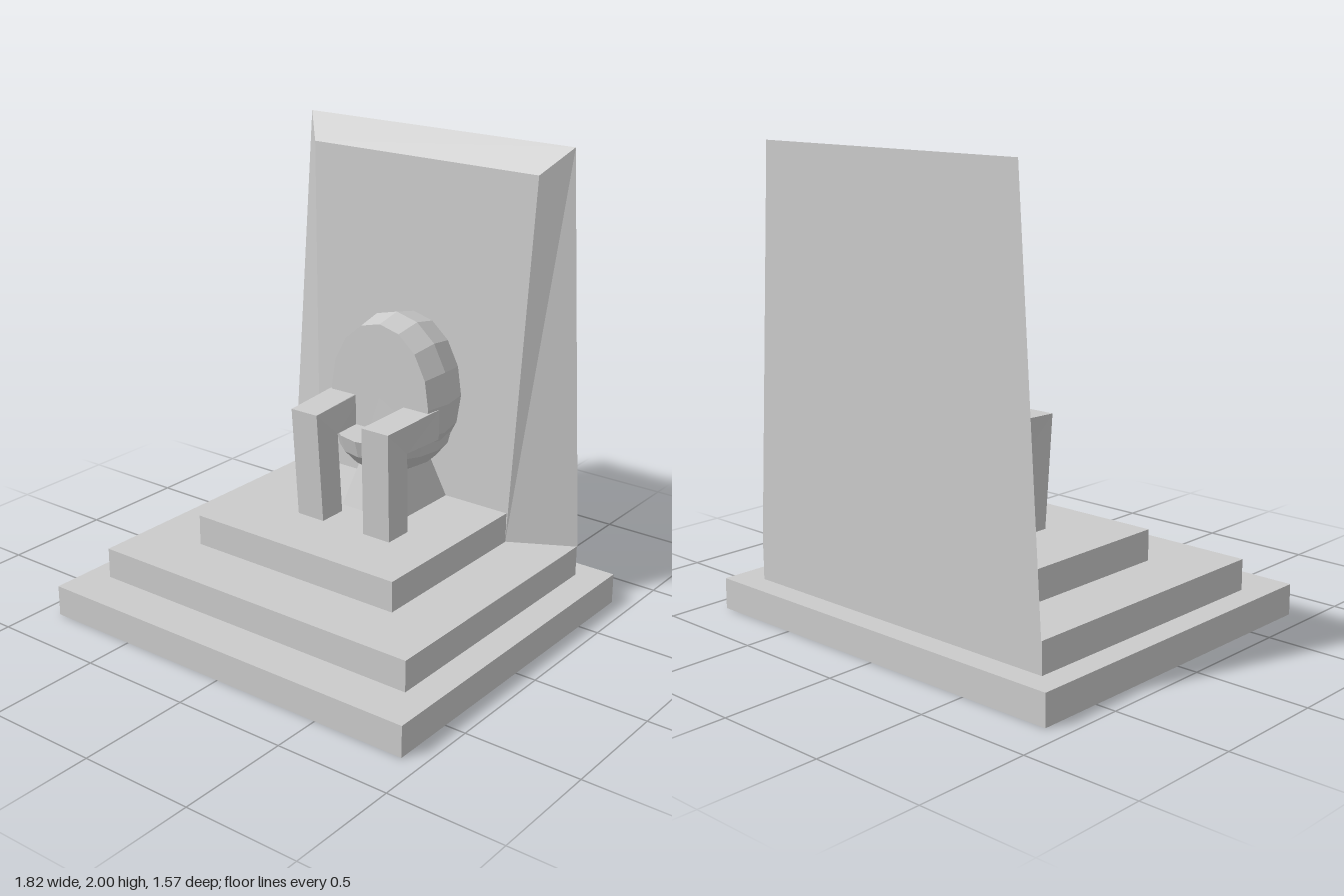
import * as THREE from 'three';

const material = new THREE.MeshStandardMaterial({ color: 0xcccccc, flatShading: true });

function part(name, geometry, parent) {
  const mesh = new THREE.Mesh(geometry, material);
  mesh.name = name;
  parent.add(mesh);
  return mesh;
}

// Box given by its limits on each axis
function block(x0, x1, y0, y1, z0, z1) {
  return new THREE.BoxGeometry(x1 - x0, y1 - y0, z1 - z0)
    .translate((x0 + x1) / 2, (y0 + y1) / 2, (z0 + z1) / 2);
}

// Move every vertex by a rule
function reshape(geometry, rule) {
  const p = geometry.attributes.position;
  const v = new THREE.Vector3();
  for (let i = 0; i < p.count; i++) {
    rule(v.fromBufferAttribute(p, i));
    p.setXYZ(i, v.x, v.y, v.z);
  }
  geometry.computeVertexNormals();
  return geometry;
}

export function createModel() {
  const model = new THREE.Group();
  model.name = 'throneOnDais';

  // Stepped dais
  part('lowerStep', block(-0.91, 0.91, 0, 0.135, -0.785, 0.785), model);
  part('middleStep', block(-0.8, 0.78, 0.135, 0.27, -0.68, 0.585), model);
  part('upperStep', block(-0.52, 0.51, 0.27, 0.405, -0.53, 0.305), model);

  // Tall back wall, tapering upward and bevelled toward the front
  const wall = new THREE.BoxGeometry(1, 1, 1);
  part('backWall', reshape(wall, (v) => {
    const top = v.y > 0;
    const front = v.z > 0;
    const halfWidth = front ? (top ? 0.577 : 0.515) : (top ? 0.678 : 0.79);
    v.x = Math.sign(v.x) * halfWidth - (top ? 0.002 : 0.006);
    v.y = top ? (front ? 1.89 : 2) : 0.27;
    v.z = front ? (top ? -0.575 : -0.53) : -0.68;
  }), model);

  const chair = new THREE.Group();
  chair.name = 'chair';
  chair.position.x = 0.042;
  model.add(chair);

  // Oval backrest with a bulging rim
  const rim = [[0, -0.12], [0.255, -0.122], [0.275, 0], [0.255, 0.122], [0, 0.12]]
    .map(([r, y]) => new THREE.Vector2(r, y));
  const disc = new THREE.LatheGeometry(rim, 16).rotateX(Math.PI / 2).scale(1, 1.29, 1);
  part('backrest', disc, chair).position.set(0, 0.918, -0.35);

  // Bowl-shaped seat with a flat top, kept within the backrest behind
  const bowl = new THREE.SphereGeometry(1, 16, 4, 0, Math.PI * 2, Math.PI / 2, Math.PI / 2)
    .scale(0.24, 0.2, 0.29);
  reshape(bowl, (v) => { v.z = Math.max(v.z, -0.11); });
  part('seatBowl', bowl, chair).position.set(0, 0.77, -0.35);
  const seatTop = new THREE.CircleGeometry(1, 16).rotateX(-Math.PI / 2).scale(0.24, 1, 0.29);
  reshape(seatTop, (v) => { v.z = Math.max(v.z, -0.11); });
  part('seatTop', seatTop, chair).position.set(0, 0.77, -0.35);

  // Flared pedestal
  const pedestal = new THREE.BoxGeometry(1, 1, 1);
  part('pedestal', reshape(pedestal, (v) => {
    const top = v.y > 0;
    v.x *= top ? 0.21 : 0.3;
    v.z = v.z * (top ? 0.23 : 0.36) - 0.35;
    v.y = top ? 0.6 : 0.405;
  }), chair);

  // Bent arms: a rest on top and a slanted front leg, profile in z and y
  const profile = [[0.02, 0.405], [0.05, 0.893], [-0.225, 0.905], [-0.3, 0.905],
    [-0.3, 0.77], [-0.09, 0.77], [-0.112, 0.405]];
  for (const side of [-1, 1]) {
    const shape = new THREE.Shape(profile.map(([z, y]) => new THREE.Vector2(-z, y)));
    const arm = new THREE.ExtrudeGeometry(shape, { depth: 0.135, bevelEnabled: false })
      .rotateY(Math.PI / 2)
      .translate(-0.0675, 0, 0);
    // Splay outward slightly toward the top and the back
    reshape(arm, (v) => {
      v.x += side * (0.175 + 0.02 * (v.y - 0.405) + (v.z < -0.2 ? 0.012 : 0));
    });
    part(side > 0 ? 'leftArm' : 'rightArm', arm, chair);
  }

  return model;
}
